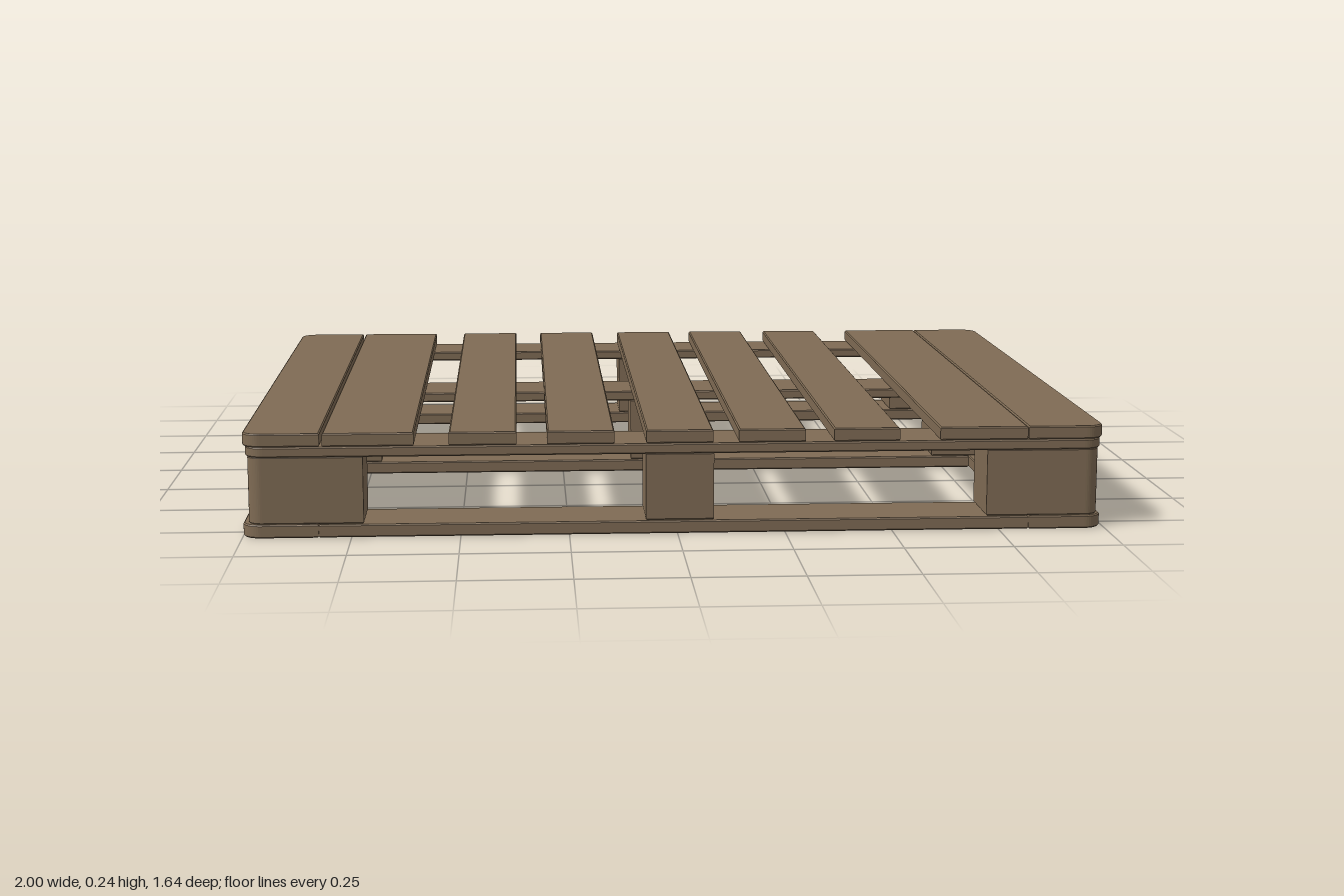
import * as THREE from 'three';

const wood = new THREE.MeshStandardMaterial({ color: 0x7f6b54, roughness: 0.9 });

// Plank spanning x0..x1, y0..y1, z0..z1 with softened edges.
// radii: plan corner radii in the order (x0,z1) (x1,z1) (x1,z0) (x0,z0)
function plank(name, [x0, x1], [y0, y1], [z0, z1], radii = [0, 0, 0, 0]) {
  const b = 0.003; // bevel
  const l = x0 + b, r = x1 - b, d = -z1 + b, u = -z0 - b; // shape y is -z
  const [a, c, e, f] = radii;
  const s = new THREE.Shape();
  s.moveTo(l + a, d);
  s.lineTo(r - c, d);
  if (c) s.absarc(r - c, d + c, c, -Math.PI / 2, 0);
  s.lineTo(r, u - e);
  if (e) s.absarc(r - e, u - e, e, 0, Math.PI / 2);
  s.lineTo(l + f, u);
  if (f) s.absarc(l + f, u - f, f, Math.PI / 2, Math.PI);
  s.lineTo(l, d + a);
  if (a) s.absarc(l + a, d + a, a, Math.PI, Math.PI * 1.5);
  const geo = new THREE.ExtrudeGeometry(s, {
    depth: y1 - y0 - 2 * b, bevelEnabled: true, bevelSize: b,
    bevelThickness: b, bevelSegments: 1, curveSegments: 6,
  });
  geo.rotateX(-Math.PI / 2);
  geo.translate(0, y0 + b, 0);
  const mesh = new THREE.Mesh(geo, wood);
  mesh.name = name;
  return mesh;
}

export function createModel() {
  const pallet = new THREE.Group();
  pallet.name = 'pallet';
  const R = 0.04;
  const leftRound = [R, 0, 0, R], rightRound = [0, R, R, 0];

  // Base frame: two end boards and three long boards between them
  const base = new THREE.Group();
  base.name = 'baseFrame';
  base.add(plank('baseEndBoard', [-1, -0.825], [0, 0.031], [-0.822, 0.822], leftRound));
  base.add(plank('baseEndBoard', [0.82, 0.995], [0, 0.031], [-0.822, 0.822], rightRound));
  for (const z of [[-0.82, -0.65], [-0.1, 0.075], [0.65, 0.82]])
    base.add(plank('baseLongBoard', [-0.825, 0.82], [0, 0.03], z));
  pallet.add(base);

  // Nine spacer blocks; outer corners are rounded
  const blocks = new THREE.Group();
  blocks.name = 'blocks';
  const bx = [[-0.987, -0.722], [-0.073, 0.085], [0.722, 0.987]];
  const bz = [[-0.815, -0.655], [-0.093, 0.07], [0.653, 0.813]];
  const cr = 0.03;
  bx.forEach((x, i) => bz.forEach((z, j) => {
    const radii = [
      i === 0 && j === 2 ? cr : 0, i === 2 && j === 2 ? cr : 0,
      i === 2 && j === 0 ? cr : 0, i === 0 && j === 0 ? cr : 0,
    ];
    blocks.add(plank('block', x, [0.03, 0.188], z, radii));
  }));
  pallet.add(blocks);

  // Runners along x on top of the blocks
  const runners = new THREE.Group();
  runners.name = 'runners';
  runners.add(plank('backRunner', [-0.992, 0.992], [0.187, 0.211], [-0.82, -0.65], [0, 0, R, R]));
  runners.add(plank('middleRunner', [-0.992, 0.992], [0.187, 0.211], [-0.1, 0.075]));
  runners.add(plank('frontRunner', [-0.992, 0.992], [0.187, 0.211], [0.648, 0.818], [R, R, 0, 0]));
  pallet.add(runners);

  // Deck boards along z
  const deck = new THREE.Group();
  deck.name = 'deckBoards';
  const spans = [
    [-0.998, -0.82], [-0.814, -0.605], [-0.525, -0.37], [-0.3, -0.145], [-0.072, 0.083],
    [0.142, 0.297], [0.363, 0.516], [0.61, 0.815], [0.817, 0.997],
  ];
  spans.forEach((x, i) => {
    const radii = i === 0 ? leftRound : i === 8 ? rightRound : undefined;
    deck.add(plank('deckBoard', x, [0.211, 0.242], [-0.822, 0.817], radii));
  });
  pallet.add(deck);

  return pallet;
}
